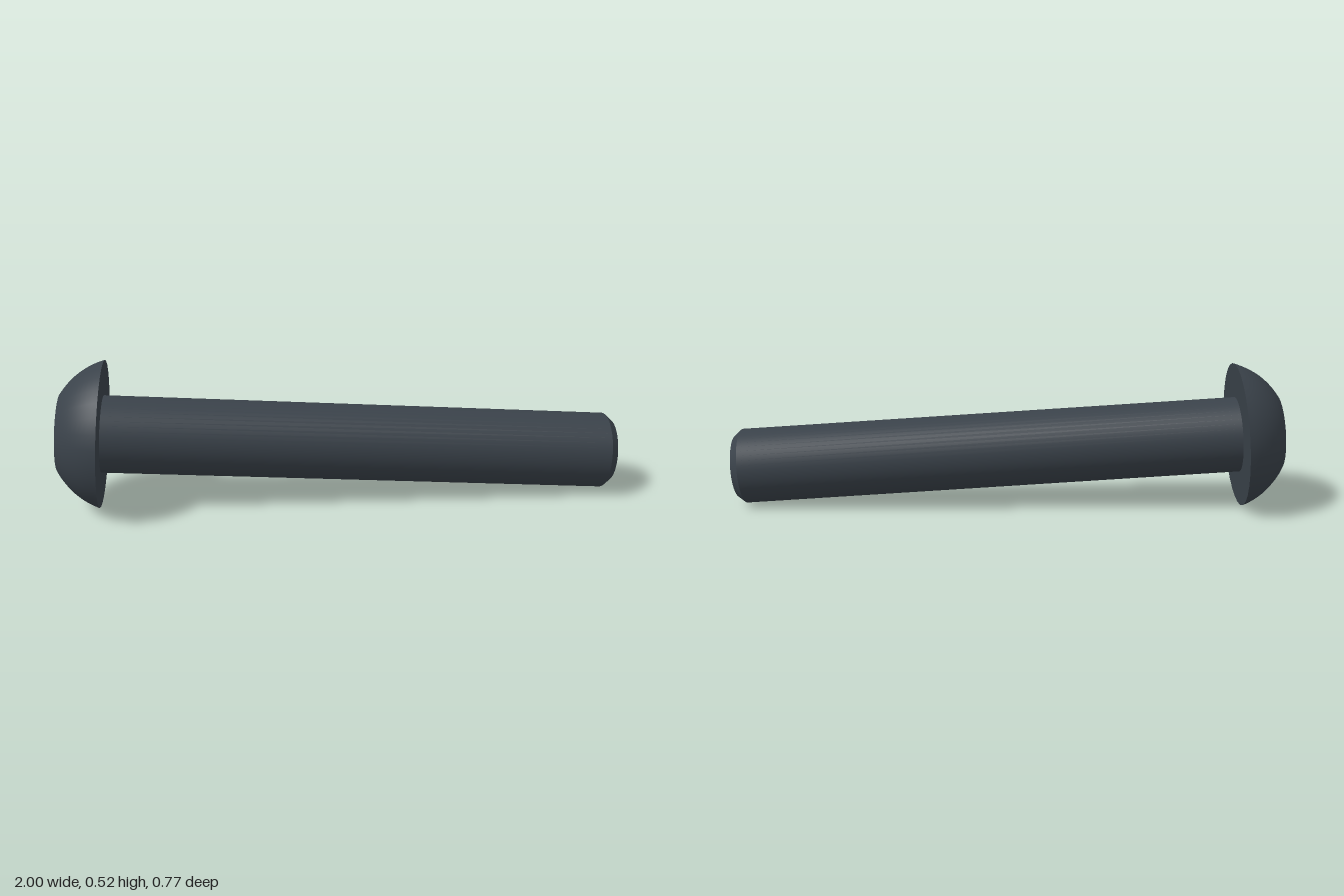
import * as THREE from 'three';

const STEEL = new THREE.MeshStandardMaterial({ color: 0x3a424a });
STEEL.name = 'dark steel';

const SIDES = 30;
const SHAFT_R = 0.137, TIP_R = 0.114, LENGTH = 1.845, CHAMFER = 0.028;
const HEAD_R = 0.262, HEAD_H = 0.151, TOP_R = 0.137;
const HEX_R = 0.106, HEX_DEPTH = 0.095;

// Surface of revolution about the screw axis (local +y points out of the head)
function revolve(name, points, sides = SIDES, flat = false) {
  let geo = new THREE.LatheGeometry(points.map(([r, y]) => new THREE.Vector2(r, y)), sides);
  if (flat) {
    geo = geo.toNonIndexed();
    geo.computeVertexNormals();
  }
  const mesh = new THREE.Mesh(geo, STEEL);
  mesh.name = name;
  return mesh;
}

export function createModel() {
  const screw = new THREE.Group();
  screw.name = 'buttonHeadScrew';

  // Shaft with chamfered tip; separate bands keep the edges sharp
  screw.add(
    revolve('tipFace', [[0, -LENGTH], [TIP_R, -LENGTH]], 48),
    revolve('tipChamfer', [[TIP_R, -LENGTH], [SHAFT_R, -LENGTH + CHAMFER]], 48),
    revolve('shaft', [[SHAFT_R, -LENGTH + CHAMFER], [SHAFT_R, 0]], 48),
    revolve('headUnderside', [[SHAFT_R - 0.01, 0], [HEAD_R, 0]]),
  );

  // Spherical dome between the rim and the flat top
  const drop = (TOP_R ** 2 + HEAD_H ** 2 - HEAD_R ** 2) / (-2 * HEAD_H);
  const ballR = Math.hypot(HEAD_R, drop);
  const from = Math.atan2(drop, HEAD_R), to = Math.atan2(HEAD_H + drop, TOP_R);
  const dome = [];
  for (let i = 0; i <= 10; i++) {
    const a = from + (to - from) * i / 10;
    dome.push([ballR * Math.cos(a), ballR * Math.sin(a) - drop]);
  }
  screw.add(revolve('headDome', dome));

  // Flat top with a hexagonal opening
  const ring = (r, n) => Array.from({ length: n }, (_, i) => {
    const a = i / n * Math.PI * 2;
    return new THREE.Vector2(r * Math.sin(a), r * Math.cos(a));
  });
  const face = new THREE.Shape(ring(TOP_R, SIDES));
  face.holes.push(new THREE.Path(ring(HEX_R, 6)));
  const topFace = new THREE.Mesh(new THREE.ShapeGeometry(face).rotateX(-Math.PI / 2), STEEL);
  topFace.position.y = HEAD_H;
  topFace.name = 'headTop';
  screw.add(topFace);

  // Hex socket: walls and floor facing inward
  const floor = HEAD_H - HEX_DEPTH;
  screw.add(revolve('hexSocket', [[HEX_R, HEAD_H], [HEX_R, floor], [0, floor]], 6, true));

  // Lay the screw down, resting on its tip and head rim
  const axis = new THREE.Vector3(-1.795, 0.123, -0.385).normalize();
  const side = axis.clone().cross(new THREE.Vector3(0, 1, 0)).normalize();
  const up = side.clone().cross(axis);
  screw.quaternion.setFromRotationMatrix(new THREE.Matrix4().makeBasis(side, axis, up));
  screw.position.set(-0.825, 0.263, -0.13);

  const model = new THREE.Group();
  model.name = 'screwModel';
  model.add(screw);
  return model;
}
